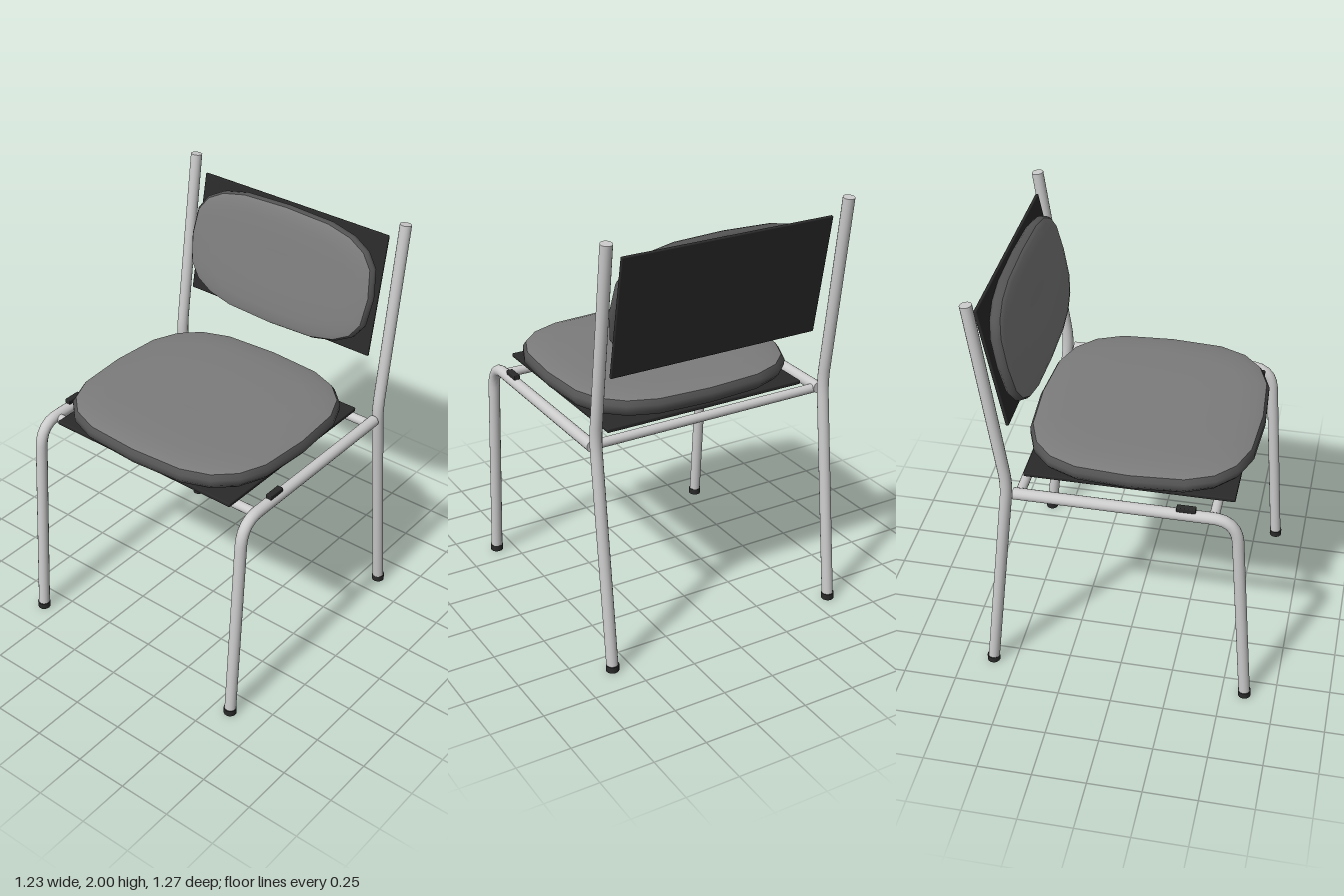
import * as THREE from 'three';
import { mergeVertices } from 'three/addons/utils/BufferGeometryUtils.js';
import { RoundedBoxGeometry } from 'three/addons/geometries/RoundedBoxGeometry.js';

const mat = (name, color) => Object.assign(new THREE.MeshStandardMaterial({ color }), { name });

export function createModel() {
  const steel = mat('steel', 0xcccccc);
  const fabric = mat('fabric', 0x7c7c7c);
  const fabricSide = mat('fabricSide', 0x555555);
  const black = mat('blackPlastic', 0x2a2a2a);

  const chair = new THREE.Group();
  chair.name = 'chair';
  const add = (name, geometry, material, parent = chair) => {
    const mesh = new THREE.Mesh(geometry, material);
    mesh.name = name;
    parent.add(mesh);
    return mesh;
  };

  // Steel tube through three [y, z] points, with the middle corner rounded, and capped ends
  const R = 0.027;
  const bentTube = (name, x, pts, before, after) => {
    const [a, b, c] = pts.map(([y, z]) => new THREE.Vector3(x, y, z));
    const p = b.clone().add(a.clone().sub(b).setLength(before));
    const q = b.clone().add(c.clone().sub(b).setLength(after));
    const path = new THREE.CurvePath();
    path.add(new THREE.LineCurve3(a, p));
    path.add(new THREE.QuadraticBezierCurve3(p, b, q));
    path.add(new THREE.LineCurve3(q, c));
    const group = new THREE.Group();
    group.name = name;
    add(name + 'Tube', new THREE.TubeGeometry(path, 64, R, 16), steel, group);
    for (const [end, from] of [[a, p], [c, q]]) {
      const cap = add(name + 'Cap', new THREE.CircleGeometry(R, 16), steel, group);
      cap.position.copy(end);
      cap.quaternion.setFromUnitVectors(new THREE.Vector3(0, 0, 1), end.clone().sub(from).normalize());
    }
    chair.add(group);
  };

  // Side frames: front leg with seat rail, back leg with backrest post, feet and clips
  for (const [side, x] of [['left', 0.587], ['right', -0.587]]) {
    bentTube(side + 'FrontLeg', x, [[0.005, 0.607], [1.046, 0.535], [1.046, -0.455]], 0.12, 0.105);
    bentTube(side + 'BackLeg', x, [[0.005, -0.605], [1.09, -0.483], [1.997, -0.605]], 0.07, 0.07);
    for (const z of [0.607, -0.605]) {
      add(side + 'Foot', new THREE.CylinderGeometry(0.03, 0.03, 0.03, 16), black).position.set(x, 0.015, z);
    }
    add(side + 'Clip', new RoundedBoxGeometry(0.03, 0.022, 0.085, 2, 0.004), black)
      .position.set(x + Math.sign(x) * 0.002, 1.08, 0.313);
  }

  // Cross bars under the seat
  for (const [name, z] of [['frontCrossBar', 0.432], ['backCrossBar', -0.43]]) {
    const bar = add(name, new THREE.CylinderGeometry(0.022, 0.022, 1.15, 16), steel);
    bar.rotation.z = Math.PI / 2;
    bar.position.set(0, 1.038, z);
  }

  // Lathe reshaped from a circle into a rounded square; profile is [scale, height] upward
  const squareLathe = (profile, hx, hz, thickness) => {
    const lathe = new THREE.LatheGeometry(profile.map(([s, h]) => new THREE.Vector2(s, h)), 20);
    const pos = lathe.attributes.position;
    const bulge = (v, r) => (Math.abs(v) < 1e-6 ? 0 : Math.sign(v) * r * Math.pow(Math.abs(v) / r, 0.645));
    for (let i = 0; i < pos.count; i++) {
      const x = pos.getX(i), z = pos.getZ(i), r = Math.hypot(x, z);
      pos.setXYZ(i, bulge(x, r) * hx, pos.getY(i) * thickness, bulge(z, r) * hz);
    }
    lathe.deleteAttribute('normal');
    lathe.deleteAttribute('uv');
    const geometry = mergeVertices(lathe, 1e-5);
    geometry.computeVertexNormals();
    return geometry;
  };

  // Cushion: a darker underside and rim with a lighter top panel
  const rim = [[0, 0], [0.88, 0.02], [0.965, 0.14], [1, 0.36], [1, 0.6], [0.975, 0.8]];
  const panel = [[0.975, 0.8], [0.9, 0.91], [0.75, 0.97], [0.5, 1], [0.25, 0.995], [0, 0.98]];
  const cushion = (name, hx, hz, thickness) => {
    const group = new THREE.Group();
    group.name = name;
    add(name + 'Rim', squareLathe(rim, hx, hz, thickness), fabricSide, group);
    add(name + 'Panel', squareLathe(panel, hx, hz, thickness), fabric, group);
    chair.add(group);
    return group;
  };

  // Seat
  add('seatBoard', new RoundedBoxGeometry(1, 0.02, 0.945, 2, 0.006), black).position.set(0, 1.085, 0.04);
  cushion('seatCushion', 0.555, 0.525, 0.112).position.set(0, 1.097, 0.05);

  // Backrest, leaning back
  const board = add('backBoard', new RoundedBoxGeometry(1.03, 0.578, 0.015, 2, 0.005), black);
  board.position.set(0, 1.64, -0.539);
  board.rotation.x = -0.188;
  const pad = cushion('backCushion', 0.515, 0.287, 0.075);
  pad.position.set(0, 1.64, -0.529);
  pad.rotation.x = Math.PI / 2 - 0.205;

  return chair;
}
